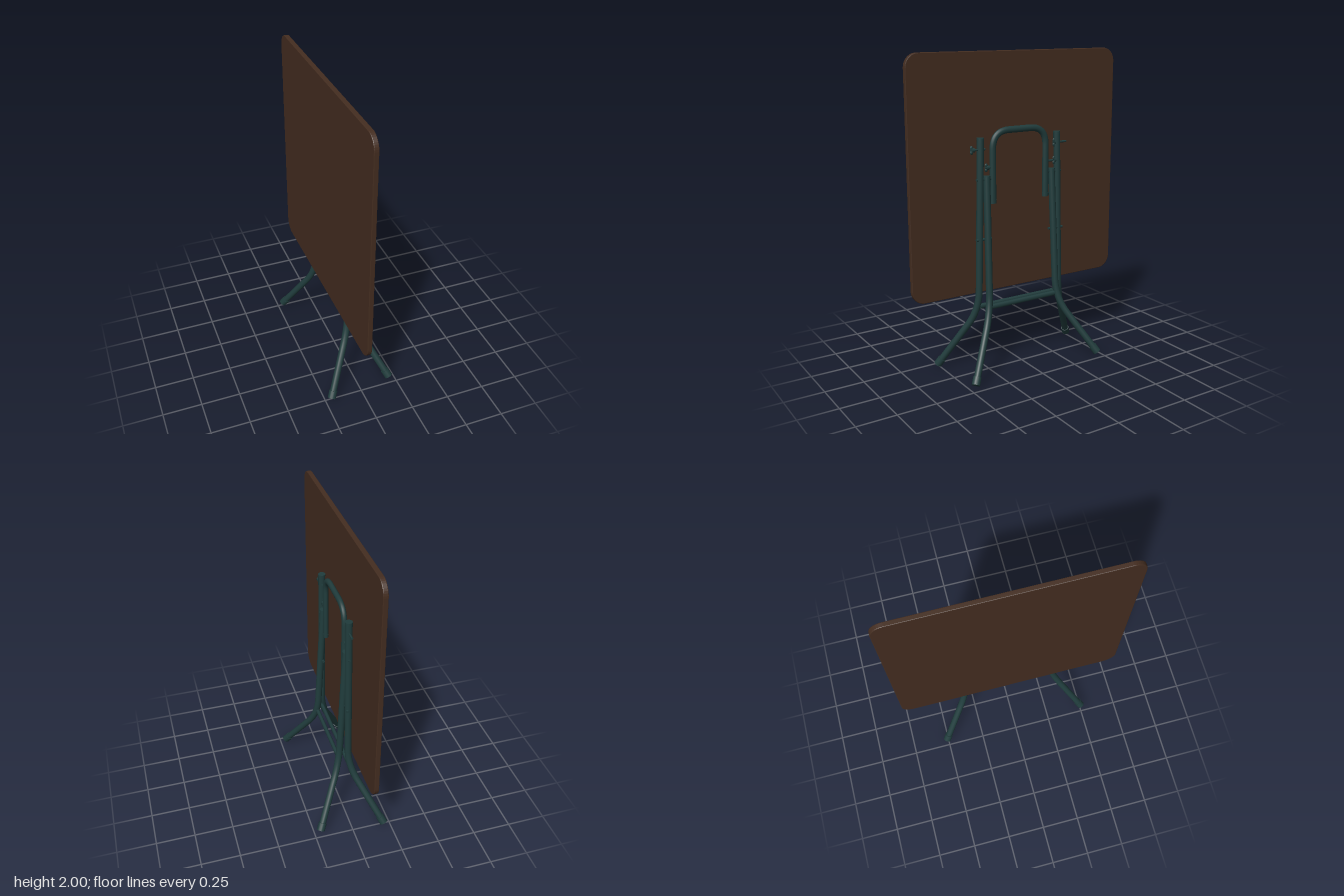
import * as THREE from 'three';

const green = new THREE.MeshStandardMaterial({ color: 0x203c3c });
const brown = new THREE.MeshStandardMaterial({ color: 0x442d20 });
const V = (x, y, z) => new THREE.Vector3(x, y, z);

function add(parent, name, geometry, material = green) {
  const mesh = new THREE.Mesh(geometry, material);
  mesh.name = name;
  parent.add(mesh);
  return mesh;
}

// Straight round bar between two points
function rod(parent, name, a, b, r, sides = 16) {
  const mesh = add(parent, name, new THREE.CylinderGeometry(r, r, a.distanceTo(b), sides));
  mesh.position.copy(a).lerp(b, 0.5);
  mesh.quaternion.setFromUnitVectors(V(0, 1, 0), b.clone().sub(a).normalize());
  return mesh;
}

// Path of straight runs joined by rounded bends; bend is the length cut from each run
function bentPath(points, bend) {
  const path = new THREE.CurvePath();
  let from = points[0];
  for (let i = 1; i < points.length - 1; i++) {
    const p = points[i];
    const a = p.clone().add(points[i - 1].clone().sub(p).setLength(bend));
    const b = p.clone().add(points[i + 1].clone().sub(p).setLength(bend));
    path.add(new THREE.LineCurve3(from, a));
    path.add(new THREE.QuadraticBezierCurve3(a, p, b));
    from = b;
  }
  path.add(new THREE.LineCurve3(from, points[points.length - 1]));
  return path;
}

// Bent leg tube with a plugged top and a rubber foot
function leg(parent, name, points, r) {
  const group = new THREE.Group();
  group.name = name;
  parent.add(group);
  add(group, 'legTube', new THREE.TubeGeometry(bentPath(points, 0.13), 60, r, 14));
  const [top, next] = points;
  rod(group, 'topPlug', top, top.clone().lerp(next, 0.012), r * 1.04);
  const end = points[points.length - 1];
  const dir = points[points.length - 2].clone().sub(end).normalize();
  rod(group, 'footCap', end, end.clone().addScaledVector(dir, 0.05), r * 1.2);
}

// Bolt along z with a two-winged nut at its outer end
function wingBolt(parent, name, x, y, z0, z1) {
  const group = new THREE.Group();
  group.name = name;
  parent.add(group);
  rod(group, 'bolt', V(x, y, z0), V(x, y, z1), 0.007, 10);
  rod(group, 'nut', V(x, y, z1 - 0.026), V(x, y, z1 - 0.008), 0.014, 10);
  for (const s of [-1, 1]) {
    const wing = add(group, 'wing', new THREE.SphereGeometry(0.012, 10, 8));
    wing.scale.set(0.5, 1.1, 0.9);
    wing.position.set(x, y + s * 0.014, z1 - 0.008);
  }
}

export function createModel() {
  const model = new THREE.Group();
  model.name = 'foldedTable';

  // Upright table top with rounded corners and a slightly eased edge
  const bevel = 0.004, half = 0.746 - bevel, r = 0.08;
  const shape = new THREE.Shape();
  shape.moveTo(half, half - r);
  shape.absarc(half - r, half - r, r, 0, Math.PI / 2);
  shape.absarc(r - half, half - r, r, Math.PI / 2, Math.PI);
  shape.absarc(r - half, r - half, r, Math.PI, Math.PI * 1.5);
  shape.absarc(half - r, r - half, r, Math.PI * 1.5, Math.PI * 2);
  const board = new THREE.ExtrudeGeometry(shape, {
    depth: 0.022, bevelSize: bevel, bevelThickness: bevel, bevelSegments: 2, curveSegments: 5,
  });
  board.translate(0, 0, -0.011).rotateY(Math.PI / 2);
  add(model, 'tableTop', board, brown).position.set(-0.059, 1.254, 0);

  // Two pairs of legs, mirrored across z
  for (const s of [1, -1]) {
    const side = s > 0 ? 'front' : 'back';
    leg(model, side + 'OuterLeg', [
      V(-0.022, 1.49, s * 0.279), V(-0.022, 0.40, s * 0.304), V(-0.209, 0.014, s * 0.508),
    ], 0.022);
    leg(model, side + 'InnerLeg', [
      V(-0.02, 1.255, s * 0.239), V(0.024, 0.39, s * 0.252), V(0.209, 0.022, s * 0.464),
    ], 0.022);

    // Pivot rivets and wing bolts
    rod(model, side + 'Pivot', V(-0.012, 0.86, s * 0.215), V(-0.012, 0.86, s * 0.322), 0.009, 10);
    rod(model, side + 'UpperRivet', V(-0.02, 1.235, s * 0.21), V(-0.02, 1.235, s * 0.312), 0.008, 10);
    wingBolt(model, side + 'UpperWingBolt', -0.02, 1.42, s > 0 ? 0.25 : -0.35, s > 0 ? 0.35 : -0.25);
    wingBolt(model, side + 'LowerWingBolt', -0.02, 1.305, s * 0.19, s * 0.25);
  }

  // Crossbars tying each pair of legs
  for (const [name, x, z] of [['innerCrossbar', 0.024, 0.25], ['outerCrossbar', -0.022, 0.30]]) {
    const bar = rod(model, name, V(x, 0.425, -z), V(x, 0.425, z), 0.017);
    bar.scale.x = 0.75;
  }

  // U-shaped support bow, slightly flattened against the top
  const bow = new THREE.Group();
  bow.name = 'supportBow';
  bow.position.x = -0.022;
  bow.scale.x = 0.8;
  model.add(bow);
  const bowPoints = [V(0, 1.08, 0.194), V(0, 1.525, 0.194), V(0, 1.525, -0.194), V(0, 1.08, -0.194)];
  add(bow, 'bowTube', new THREE.TubeGeometry(bentPath(bowPoints, 0.115), 90, 0.021, 14));
  for (const z of [0.194, -0.194]) rod(bow, 'bowEnd', V(0, 1.078, z), V(0, 1.1, z), 0.022);

  return model;
}
